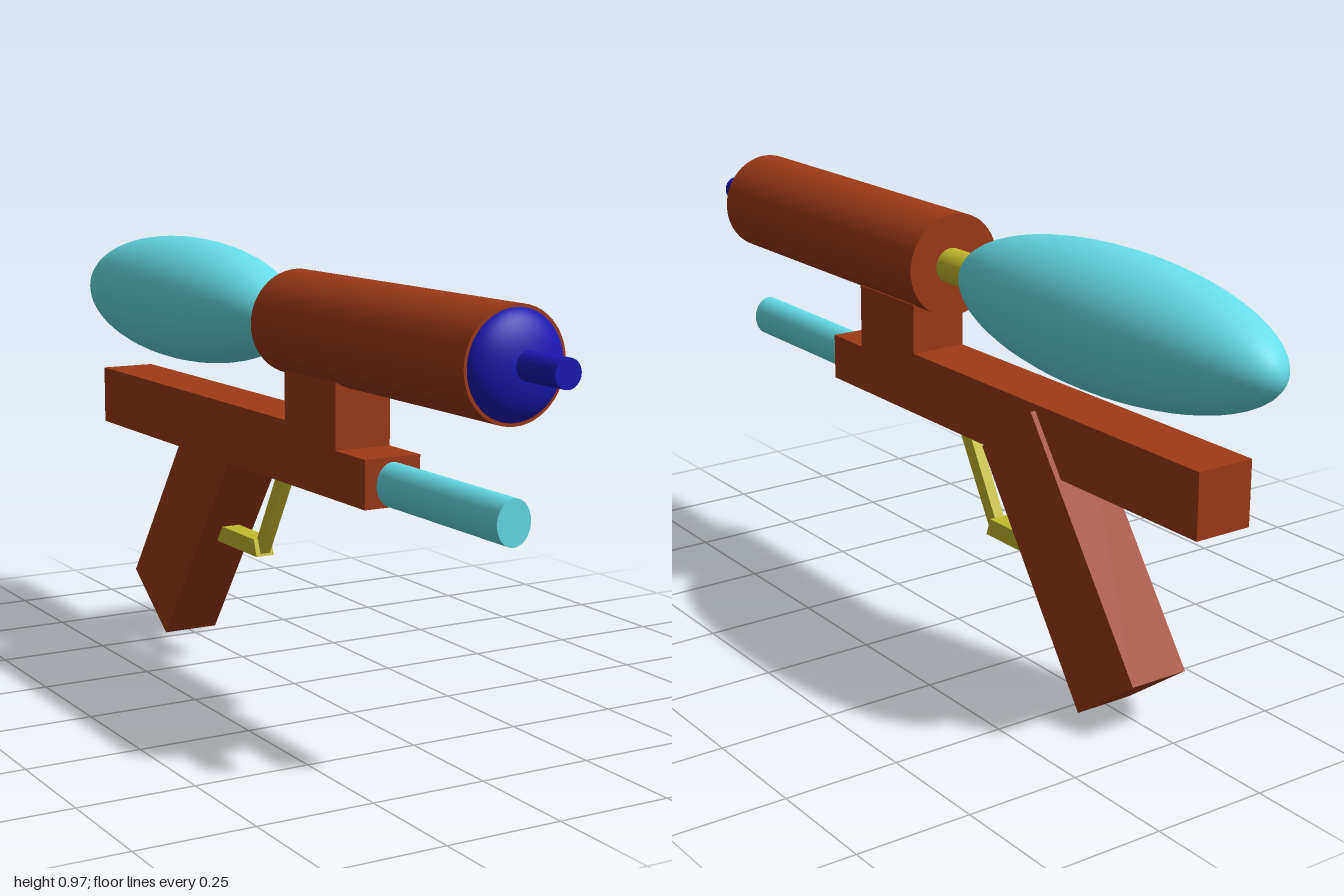
import * as THREE from 'three';

const material = (color) => new THREE.MeshStandardMaterial({ color, roughness: 0.7 });

export function createModel() {
  const group = new THREE.Group();
  const brown = material(0x9e3a17);
  const cyan = material(0x66dde8);
  const blue = material(0x1c18b4);
  const yellow = material(0xc4ba2c);

  const add = (name, geometry, mat, x = 0, y = 0, z = 0) => {
    const mesh = new THREE.Mesh(geometry, mat);
    mesh.name = name;
    mesh.position.set(x, y, z);
    group.add(mesh);
    return mesh;
  };

  // Side profile given as [z, y] points, extruded from x0 to x1
  const slab = (name, points, x0, x1, mat) => {
    const shape = new THREE.Shape(points.map(([z, y]) => new THREE.Vector2(-z, y)));
    const geometry = new THREE.ExtrudeGeometry(shape, { depth: x1 - x0, bevelEnabled: false });
    geometry.rotateY(Math.PI / 2);
    return add(name, geometry, mat, x0);
  };

  // Cylinder lying along z, from z0 to z1
  const rod = (name, radius, x, y, z0, z1, mat) => {
    const geometry = new THREE.CylinderGeometry(radius, radius, z1 - z0, 48);
    geometry.rotateX(Math.PI / 2);
    return add(name, geometry, mat, x, y, (z0 + z1) / 2);
  };

  const ellipsoid = (name, rx, rz, x, y, z, mat) => {
    const geometry = new THREE.SphereGeometry(1, 48, 32);
    geometry.rotateX(Math.PI / 2);
    geometry.scale(rx, rx, rz);
    return add(name, geometry, mat, x, y, z);
  };

  const axisX = -0.008, axisY = 0.826;

  // Upper barrel with domed front and nozzle
  rod('upperBarrel', 0.114, axisX, axisY, 0.027, 0.84, brown);
  ellipsoid('frontDome', 0.109, 0.055, axisX, axisY, 0.83, blue);
  rod('nozzle', 0.029, axisX, 0.83, 0.86, 1, blue);

  // Rear tank and its connector
  rod('tankConnector', 0.039, 0, axisY, -0.08, 0.04, yellow);
  ellipsoid('tank', 0.147, 0.478, 0, axisY, -0.522, cyan);

  // Stepped body with the riser that carries the barrel
  slab('body', [
    [0.418, 0.484], [-0.863, 0.484], [-0.863, 0.622], [0.085, 0.622],
    [0.085, 0.733], [0.3, 0.733], [0.3, 0.588], [0.418, 0.588],
  ], -0.071, 0.061, brown);

  // Lower slide rod, slightly oval
  rod('lowerRod', 0.047, -0.005, 0.531, 0.4, 0.842, cyan).scale.x = 0.82;

  // Slanted grip
  slab('grip', [
    [-0.361, 0.608], [-0.193, 0.487], [-0.535, 0], [-0.707, 0.125],
  ], -0.063, 0.073, brown);

  // Trigger guard
  slab('guardFront', [
    [-0.024, 0.49], [-0.064, 0.49], [-0.17, 0.302], [-0.152, 0.27],
  ], -0.003, 0.021, yellow);
  slab('guardBottom', [
    [-0.165, 0.303], [-0.152, 0.264], [-0.37, 0.264], [-0.37, 0.303],
  ], -0.014, 0.031, yellow);

  return group;
}
